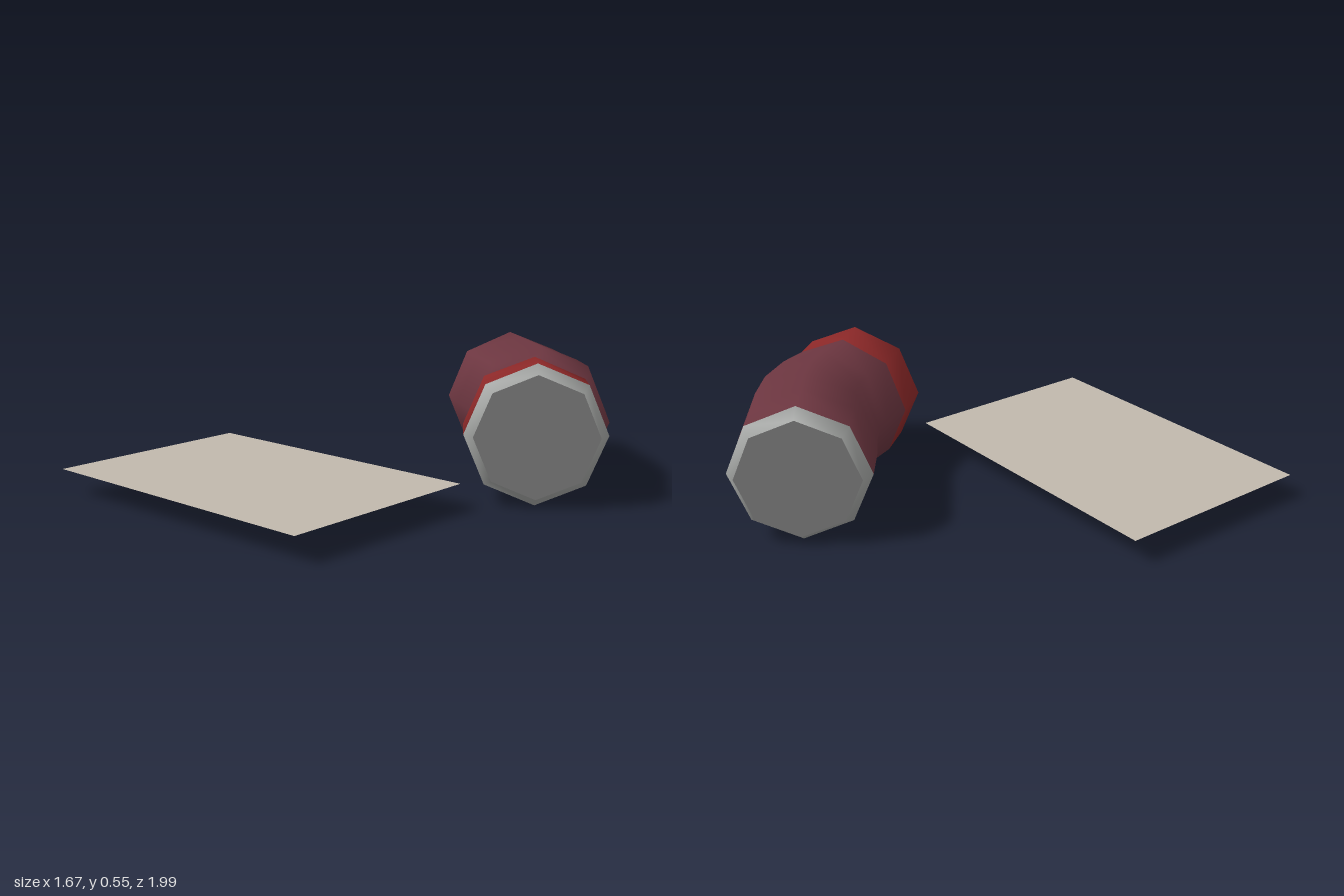
import * as THREE from 'three';

const SIDES = 8;
const MID = 0.273; // height of the can's centre line

const material = (name, color, side = THREE.FrontSide) => {
  const m = new THREE.MeshStandardMaterial({ color, side });
  m.name = name;
  return m;
};

// Octagonal skin through rings { x, z, r, tx, tz } lying across a level path
function sweep(rings) {
  const positions = [], indices = [];
  rings.forEach(({ x, z, r, tx, tz }, i) => {
    for (let j = 0; j < SIDES; j++) {
      const a = (j / SIDES) * Math.PI * 2;
      const side = r * Math.cos(a);
      positions.push(x + side * tz, MID + r * Math.sin(a), z - side * tx);
      if (i < rings.length - 1) {
        const k = (j + 1) % SIDES;
        const p = i * SIDES, q = p + SIDES;
        indices.push(p + j, p + k, q + j, p + k, q + k, q + j);
      }
    }
  });
  const g = new THREE.BufferGeometry();
  g.setAttribute('position', new THREE.Float32BufferAttribute(positions, 3));
  g.setIndex(indices);
  g.computeVertexNormals();
  return g;
}

export function createModel() {
  const model = new THREE.Group();
  model.name = 'bentCanAndSheet';
  const maroon = material('maroon', 0x6c3640);
  const red = material('red', 0x8c2828);
  const rimGrey = material('rim grey', 0xa0a2a0);
  const lidGrey = material('lid grey', 0x808080);
  const paper = material('paper', 0xc0b8ac, THREE.DoubleSide);

  const add = (name, geometry, mat, parent) => {
    const mesh = new THREE.Mesh(geometry, mat);
    mesh.name = name;
    parent.add(mesh);
    return mesh;
  };

  // Bent centre line as [x, z], from back end to front end
  const path = [[0.01, -0.765], [0.14, -0.675], [0.265, -0.6], [0.375, -0.515],
    [0.455, -0.415], [0.515, -0.295], [0.62, -0.18]];
  const last = path.length - 1;
  const rings = path.map(([x, z], i) => {
    const a = path[Math.max(i - 1, 0)], b = path[Math.min(i + 1, last)];
    let t = new THREE.Vector2(b[0] - a[0], b[1] - a[1]);
    if (i === 0) t = new THREE.Vector2(0.822, 0.569);
    if (i === last) t = new THREE.Vector2(0.674, 0.739);
    t.normalize();
    return { x, z, r: MID, tx: t.x, tz: t.y };
  });

  const can = new THREE.Group();
  can.name = 'can';
  model.add(can);
  add('canBody', sweep(rings.slice(0, last)), maroon, can);
  add('redBand', sweep(rings.slice(last - 1)), red, can);

  // Tapered rim and flat lid on both ends
  for (const [name, ring, dir] of [['back', rings[0], -1], ['front', rings[last], 1]]) {
    const end = {
      ...ring, r: 0.238,
      x: ring.x + dir * 0.052 * ring.tx, z: ring.z + dir * 0.052 * ring.tz,
    };
    add(name + 'Rim', sweep(dir > 0 ? [ring, end] : [end, ring]), rimGrey, can);
    const lid = add(name + 'Lid', new THREE.CircleGeometry(end.r, SIDES), lidGrey, can);
    lid.position.set(end.x, MID, end.z);
    lid.lookAt(end.x + dir * ring.tx, MID, end.z + dir * ring.tz);
  }

  // Flat sheet beside the can
  const sheetGeometry = new THREE.PlaneGeometry(1.3, 0.862).rotateX(-Math.PI / 2).rotateY(0.058);
  add('sheet', sheetGeometry, paper, model).position.set(-0.165, 0.1, 0.53);

  return model;
}
